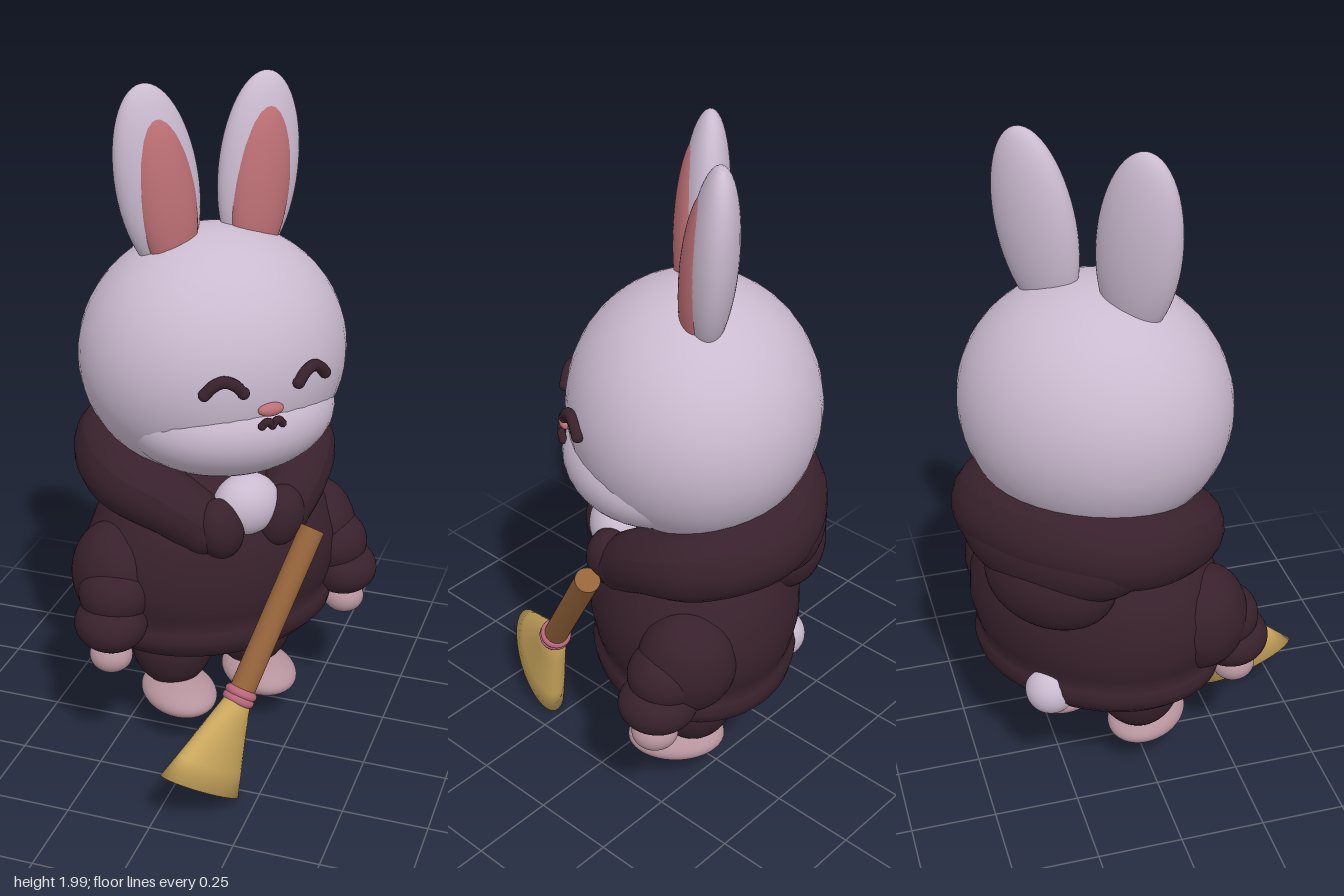
import * as THREE from 'three';
import { mergeVertices } from 'three/addons/utils/BufferGeometryUtils.js';

const mat = (name, color) => {
  const m = new THREE.MeshStandardMaterial({ color });
  m.name = name;
  return m;
};

export function createModel() {
  const fur = mat('lilac fur', 0xcbbbd0);
  const cloth = mat('dark plum cloth', 0x38212c);
  const earPink = mat('ear pink', 0xbd7075);
  const skin = mat('dusty pink', 0xb6939c);
  const wood = mat('brown wood', 0x94633a);
  const straw = mat('golden straw', 0xc8a55c);
  const ribbon = mat('rose ribbon', 0xb9687a);

  const root = new THREE.Group();
  root.name = 'rabbitWithBroom';

  // The rabbit is built facing +z, then turned 45 degrees
  const rabbit = new THREE.Group();
  rabbit.name = 'rabbit';
  rabbit.position.set(-0.02, 0, -0.12);
  rabbit.rotation.y = Math.PI / 4;
  root.add(rabbit);

  const add = (parent, name, geo, material) => {
    const mesh = new THREE.Mesh(geo, material);
    mesh.name = name;
    parent.add(mesh);
    return mesh;
  };
  const ball = (name, material, pos, radii, parent = rabbit) => {
    const mesh = add(parent, name, new THREE.SphereGeometry(1, 40, 28), material);
    mesh.position.set(...pos);
    mesh.scale.set(...radii);
    return mesh;
  };

  // Head and muzzle
  const headY = 1.235, head = [0.39, 0.363, 0.353];
  ball('head', fur, [0, headY, 0], head);
  ball('muzzle', fur, [0, 1.092, 0.1], [0.312, 0.178, 0.266]);
  ball('nose', earPink, [0, 1.182, 0.352], [0.038, 0.019, 0.02]);

  // Closed eyes and mouth follow the face's surface
  const arc = (name, cx, cy, lift, pts, r) => {
    const path = pts.map(([dx, dy]) => {
      const x = cx + dx, y = cy + dy;
      const z = head[2] * Math.sqrt(1 - (x / head[0]) ** 2 - ((y - headY) / head[1]) ** 2) + lift;
      return new THREE.Vector3(x, y, z);
    });
    const curve = new THREE.CatmullRomCurve3(path);
    add(rabbit, name, new THREE.TubeGeometry(curve, 20, r, 8), cloth);
    for (const p of [path[0], path[path.length - 1]]) ball(name + 'Tip', cloth, p.toArray(), [r, r, r]);
  };

  for (const s of [-1, 1]) {
    const side = s > 0 ? 'left' : 'right';
    arc(side + 'Eye', s * 0.134, 1.262, 0.008, [[-0.05, -0.018], [-0.028, 0.006], [0, 0.017], [0.028, 0.006], [0.05, -0.018]], 0.017);
    arc(side + 'Mouth', s * 0.016, 1.149, 0.022, [[-0.016, -0.008], [0, 0.005], [0.016, -0.011]], 0.011);

    // Ears
    const ear = new THREE.Group();
    ear.name = side + 'Ear';
    ear.position.set(s * 0.155, 1.735, -0.03);
    ear.rotation.set(-0.06, 0, -s * 0.135);
    rabbit.add(ear);
    ball('outerEar', fur, [0, 0, 0], [0.121, 0.268, 0.067], ear);
    ball('innerEar', earPink, [-s * 0.004, -0.04, 0.029], [0.088, 0.237, 0.052], ear);

    // Sleeves and hands
    ball(side + 'UpperSleeve', cloth, [s * 0.332, 0.6, 0.03], [0.125, 0.16, 0.14]);
    ball(side + 'LowerSleeve', cloth, [s * 0.362, 0.575, 0.095], [0.105, 0.095, 0.105]);
    ball(side + 'Cuff', cloth, [s * 0.385, 0.492, 0.115], [0.105, 0.082, 0.112]);
    ball(side + 'Hand', skin, [s * 0.39, 0.39, 0.123], [0.062, 0.05, 0.066]);

    // Legs and feet
    ball(side + 'Leg', cloth, [s * 0.135, 0.31, 0], [0.127, 0.15, 0.125]);
    ball(side + 'Foot', skin, [s * 0.138, 0.152, 0.048], [0.108, 0.054, 0.145]);
  }

  // Coat with a rolled hem
  const coatProfile = [
    [0, 0.36], [0.28, 0.36], [0.345, 0.375], [0.378, 0.405], [0.386, 0.435], [0.378, 0.46], [0.366, 0.474],
    [0.38, 0.51], [0.394, 0.57], [0.39, 0.65], [0.355, 0.74], [0.285, 0.83], [0.16, 0.91], [0, 0.94],
  ].map(([r, y]) => new THREE.Vector2(r, y));
  const coat = add(rabbit, 'coat', new THREE.LatheGeometry(coatProfile, 56), cloth);
  coat.scale.z = 0.78;
  coat.position.z = -0.01;

  // Collar roll: a tube that thickens towards the back
  const half = [[0.125, 0.785, 0.195], [0.2, 0.845, 0.14], [0.283, 0.895, 0], [0.225, 0.93, -0.185]];
  const collarPts = [
    ...half, [0, 0.945, -0.255],
    ...half.slice().reverse().map(([x, y, z]) => [-x, y, z]),
  ].map((p) => new THREE.Vector3(...p));
  const collarCurve = new THREE.CatmullRomCurve3(collarPts);
  const segs = 64, ring = 20;
  const collarGeo = new THREE.TubeGeometry(collarCurve, segs, 1, ring);
  const cp = collarGeo.attributes.position, v = new THREE.Vector3();
  for (let i = 0; i <= segs; i++) {
    const c = collarCurve.getPointAt(i / segs);
    const r = 0.085 + 0.04 * Math.abs(Math.sin((Math.PI * i) / segs));
    for (let j = 0; j <= ring; j++) {
      const k = i * (ring + 1) + j;
      v.fromBufferAttribute(cp, k).sub(c).multiplyScalar(r).add(c);
      cp.setXYZ(k, v.x, v.y, v.z);
    }
  }
  collarGeo.computeVertexNormals();
  add(rabbit, 'collar', collarGeo, cloth);
  for (const s of [-1, 1]) {
    ball('collarCap', cloth, [s * 0.125, 0.785, 0.195], [0.085, 0.085, 0.085]);
    ball('collarEnd', cloth, [s * 0.097, 0.788, 0.24], [0.07, 0.092, 0.066]).rotation.z = -s * 0.2;
  }

  // Hanging hood, chest tuft and tail
  ball('hoodTop', cloth, [0, 0.9, -0.235], [0.285, 0.15, 0.145]);
  ball('hoodTip', cloth, [0, 0.8, -0.255], [0.2, 0.15, 0.13]);
  ball('chestTuft', fur, [0, 0.835, 0.215], [0.1, 0.092, 0.08]);
  ball('tail', fur, [0, 0.415, -0.27], [0.074, 0.074, 0.074]);

  // Broom: y runs up the handle, x across the bristles
  const broom = new THREE.Group();
  broom.name = 'broom';
  const up = new THREE.Vector3(0.13, 0.435, -0.285).normalize();
  const across = new THREE.Vector3(-0.13, 0.2, 0.265);
  across.addScaledVector(up, -across.dot(up)).normalize();
  const thick = new THREE.Vector3().crossVectors(across, up);
  broom.setRotationFromMatrix(new THREE.Matrix4().makeBasis(across, up, thick));
  broom.position.set(0.187, 0.335, 0.252);
  root.add(broom);

  add(broom, 'handle', new THREE.CylinderGeometry(0.037, 0.037, 0.53, 24), wood).position.y = 0.255;
  for (const y of [-0.01, 0.01]) {
    const band = add(broom, 'band', new THREE.TorusGeometry(0.034, 0.014, 12, 28), ribbon);
    band.rotation.x = Math.PI / 2;
    band.position.y = y;
  }

  // Bristles flare into a flat fan with a softly shaded end
  const fanLength = 0.28;
  const cylinder = new THREE.CylinderGeometry(1, 1, fanLength, 32, 4);
  cylinder.deleteAttribute('normal');
  cylinder.deleteAttribute('uv');
  const fan = mergeVertices(cylinder);
  const fp = fan.attributes.position;
  for (let i = 0; i < fp.count; i++) {
    const t = 0.5 - fp.getY(i) / fanLength;
    fp.setX(i, fp.getX(i) * (0.036 + 0.138 * t));
    fp.setZ(i, fp.getZ(i) * (0.036 + 0.029 * t));
  }
  fan.computeVertexNormals();
  add(broom, 'bristles', fan, straw).position.y = -fanLength / 2;

  return root;
}
